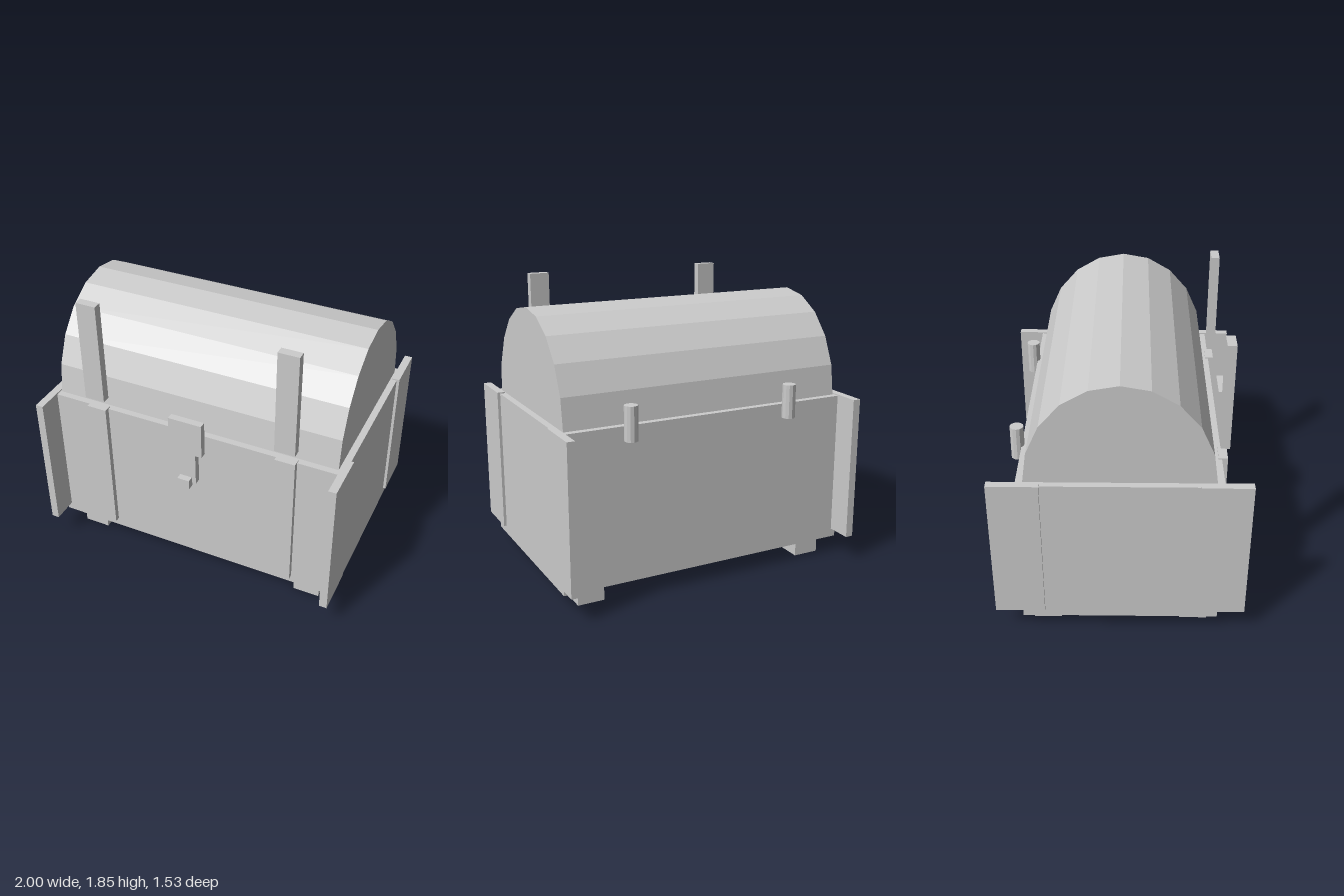
import * as THREE from 'three';

const material = new THREE.MeshStandardMaterial({ color: 0xcccccc, flatShading: true });

export function createModel() {
  const chest = new THREE.Group();
  chest.name = 'chest';

  const add = (name, geometry, x = 0, y = 0, z = 0) => {
    const mesh = new THREE.Mesh(geometry, material);
    mesh.name = name;
    mesh.position.set(x, y, z);
    chest.add(mesh);
    return mesh;
  };

  // Box given by its extents along each axis
  const box = (name, [x0, x1], [y0, y1], [z0, z1]) =>
    add(name, new THREE.BoxGeometry(x1 - x0, y1 - y0, z1 - z0),
      (x0 + x1) / 2, (y0 + y1) / 2, (z0 + z1) / 2);

  // Main body
  box('body', [-0.982, 0.982], [0.112, 1.097], [-0.6, 0.6]);

  // Arched lid: a half cylinder of ten facets, slightly taller than round
  const arch = new THREE.Shape();
  for (let i = 0; i <= 10; i++) {
    const a = (i / 10) * Math.PI;
    const x = 0.558 * Math.cos(a), y = 0.635 * Math.sin(a);
    if (i === 0) arch.moveTo(x, y);
    else arch.lineTo(x, y);
  }
  const lidGeometry = new THREE.ExtrudeGeometry(arch, { depth: 1.88, bevelEnabled: false });
  lidGeometry.translate(0, 0, -0.94).rotateY(Math.PI / 2);
  add('lid', lidGeometry, 0, 1.095, 0);

  for (const [side, s] of [['left', 1], ['right', -1]]) {
    const span = (a, b) => (s > 0 ? [a, b] : [-b, -a]);

    // Front straps on the body and on the lid
    box(`${side}BodyStrap`, span(0.57, 0.7), [0.17, 1.105], [0.58, 0.635]);
    box(`${side}LidStrap`, span(0.57, 0.7), [1.175, 1.85], [0.588, 0.642]);

    // Hinge pin at the back
    add(`${side}Hinge`, new THREE.CylinderGeometry(0.042, 0.042, 0.215, 12), s * 0.547, 1.118, -0.625);

    // Corner plates and feet, front and back
    for (const [end, e] of [['Front', 1], ['Back', -1]]) {
      const depth = (a, b) => (e > 0 ? [a, b] : [-b, -a]);
      box(`${side}${end}CornerPlate`, span(0.95, 1), [0.168, 1.105], depth(0.462, 0.765));
      box(`${side}${end}Foot`, span(0.702, 0.874), [0, 0.115], depth(0.373, 0.546));
    }
  }

  // Lock plate with a narrow tongue, and its catch
  const lock = new THREE.Shape([
    [-0.11, 1.215], [-0.11, 0.98], [-0.067, 0.98], [-0.067, 0.76],
    [0.067, 0.76], [0.067, 0.98], [0.11, 0.98], [0.11, 1.215],
  ].map(([x, y]) => new THREE.Vector2(x, y)));
  add('lockPlate', new THREE.ExtrudeGeometry(lock, { depth: 0.045, bevelEnabled: false }), 0, 0, 0.619);
  box('lockCatch', [-0.04, 0.04], [0.737, 0.802], [0.66, 0.706]);

  return chest;
}
